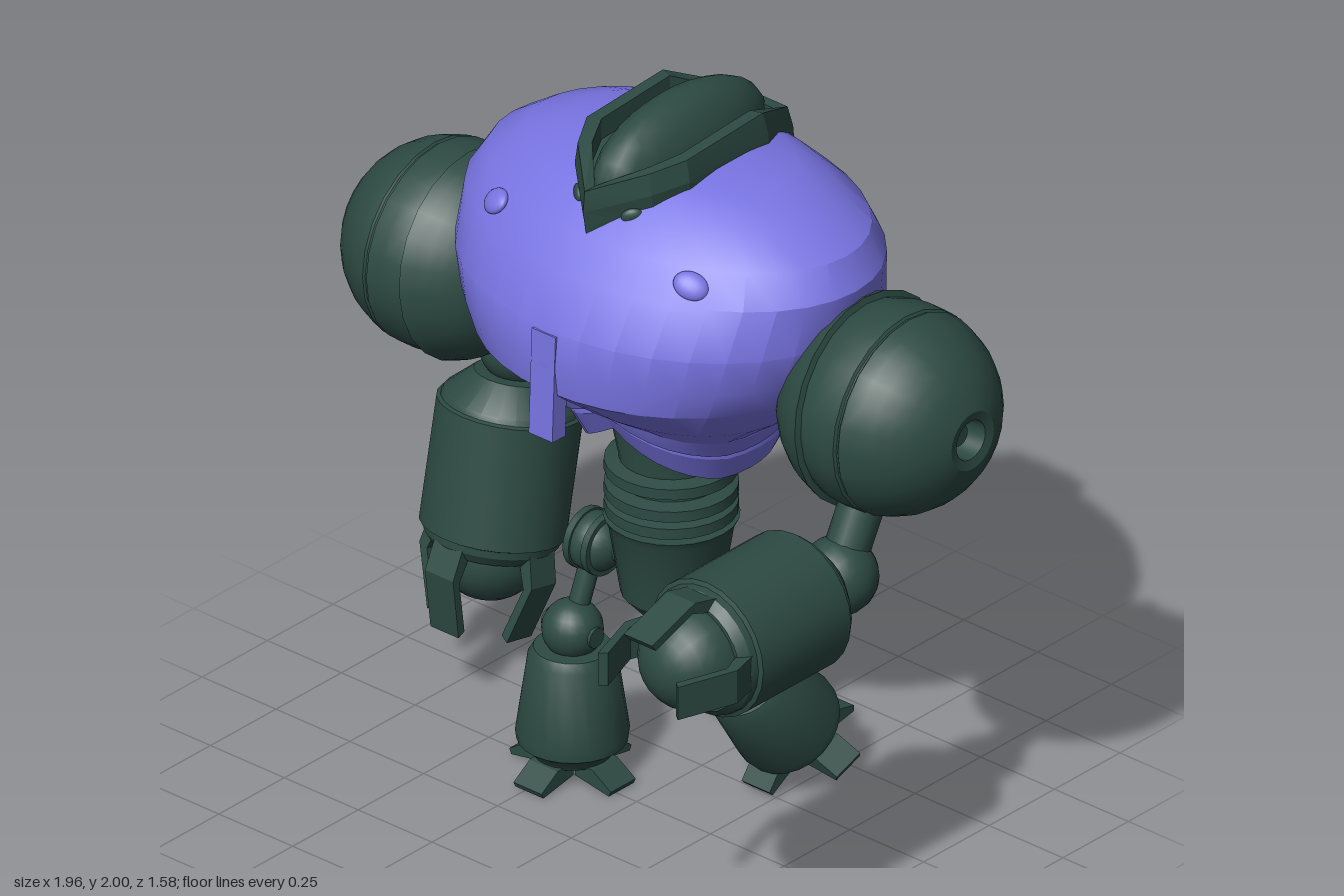
import * as THREE from 'three';
import { toCreasedNormals } from 'three/addons/utils/BufferGeometryUtils.js';
import { ConvexGeometry } from 'three/addons/geometries/ConvexGeometry.js';

const violet = new THREE.MeshStandardMaterial({ color: 0x7874e2, side: THREE.DoubleSide });
violet.name = 'violet armour';
const green = new THREE.MeshStandardMaterial({ color: 0x2d4a43, side: THREE.DoubleSide });
green.name = 'dark green metal';

const V = (x, y, z) => new THREE.Vector3(x, y, z);

function add(parent, name, geo, mat, pos = [0, 0, 0], rot = [0, 0, 0], scale = [1, 1, 1]) {
  const m = new THREE.Mesh(geo, mat);
  m.name = name;
  m.position.set(...pos);
  m.rotation.set(...rot);
  m.scale.set(...scale);
  parent.add(m);
  return m;
}

function group(parent, name, pos, rot = [0, 0, 0]) {
  const g = new THREE.Group();
  g.name = name;
  g.position.set(...pos);
  g.rotation.set(...rot);
  parent.add(g);
  return g;
}

// Turned part; the profile runs from bottom to top as [radius, y]
const turned = (profile, sides = 24) =>
  toCreasedNormals(new THREE.LatheGeometry(profile.map(p => new THREE.Vector2(...p)), sides), 0.5);

const ball = r => new THREE.SphereGeometry(r, 20, 14);

// Skin over closed rows of points, lowest row first
function skin(rows, crease) {
  const n = rows[0].length, index = [];
  for (let j = 0; j < rows.length - 1; j++) {
    for (let i = 0; i < n; i++) {
      const k = (i + 1) % n, a = j * n + i, b = j * n + k;
      index.push(a, b, a + n, b, b + n, a + n);
    }
  }
  const g = new THREE.BufferGeometry().setFromPoints(rows.flat());
  g.setIndex(index);
  g.computeVertexNormals();
  return toCreasedNormals(g, crease);
}

// Oval row: height, half width, back z, front z, rise at the front centre
function oval([y, hx, zb, zf, lift = 0], n = 36) {
  return Array.from({ length: n }, (_, i) => {
    const a = i / n * Math.PI * 2, s = Math.sin(a), c = Math.cos(a);
    return V(hx * s, y + lift * Math.max(0, 1 - Math.abs(s) * 1.05) * (c > 0 ? 1 : 0.3),
      (zb + zf) / 2 + (zf - zb) / 2 * c);
  });
}

function strut(parent, name, a, b, r) {
  const p = V(...a), q = V(...b), d = q.clone().sub(p);
  const m = add(parent, name, new THREE.CylinderGeometry(r, r, d.length(), 14), green);
  m.position.copy(p).add(q).multiplyScalar(0.5);
  m.quaternion.setFromUnitVectors(V(0, 1, 0), d.normalize());
}

// Curved plate: outline in [radius, y], given a width and turned about y
function plate(parent, name, pts, width, angle) {
  const g = new THREE.ExtrudeGeometry(new THREE.Shape(pts.map(p => new THREE.Vector2(...p))),
    { depth: width, bevelEnabled: false });
  g.translate(0, 0, -width / 2);
  add(parent, name, g, green, [0, 0, 0], [0, angle, 0]);
}

const arc = (r, y0, y1, n) => Array.from({ length: n + 1 }, (_, i) => {
  const t = Math.asin(y0 / r) + (Math.asin(y1 / r) - Math.asin(y0 / r)) * i / n;
  return [r * Math.cos(t), r * Math.sin(t)];
});

function buildTorso(root) {
  const torso = group(root, 'torso', [0, 0, 0]);
  add(torso, 'chestShell', skin([
    [1.13, 0.29, -0.43, 0.17, 0.12], [1.22, 0.41, -0.52, 0.26, 0.06], [1.34, 0.52, -0.59, 0.345],
    [1.42, 0.565, -0.61, 0.355], [1.52, 0.6, -0.605, 0.345], [1.65, 0.61, -0.57, 0.27],
    [1.73, 0.565, -0.53, 0.2], [1.8, 0.46, -0.46, 0.12], [1.845, 0.33, -0.4, 0.04],
    [1.865, 0.2, -0.3, -0.03], [1.87, 0, -0.15, -0.15],
  ].map(r => oval(r)), 0.45), violet);
  // Two stacked chevron skirts under the chest
  add(torso, 'upperSkirt', skin([[1.08, 0.275, -0.46, 0.15, 0.13], [1.14, 0.31, -0.47, 0.18, 0.12],
    [1.25, 0.33, -0.48, 0.2, 0.05]].map(r => oval(r)), 0.3), violet);
  add(torso, 'lowerSkirt', skin([[0.985, 0.23, -0.44, 0.09, 0.14], [1.06, 0.265, -0.48, 0.13, 0.13],
    [1.2, 0.27, -0.46, 0.13, 0.06]].map(r => oval(r)), 0.3), violet);
  add(torso, 'breastRib', new THREE.BoxGeometry(0.08, 0.3, 0.05), violet, [-0.005, 1.36, 0.331], [-0.04, 0, 0]);
  for (const s of [-1, 1]) {
    add(torso, 'chestStud', ball(0.048), violet, [s * 0.33, 1.695, 0.165], [-0.75, s * 0.45, 0], [1, 0.75, 0.4]);
  }
  // Back exhaust
  const hull = [[0.12, 1.65, -0.5], [0.11, 1.62, -0.61], [0.08, 1.53, -0.73], [0.065, 1.4, -0.79],
    [0.15, 1.36, -0.6], [0.15, 1.45, -0.5]];
  add(torso, 'backExhaust', new ConvexGeometry(hull.flatMap(([x, y, z]) => [V(x, y, z), V(-x, y, z)])), green);
  add(torso, 'exhaustRing', new THREE.TorusGeometry(0.034, 0.008, 8, 18), green, [0, 1.545, -0.715], [0.75, 0, 0], [1, 1.2, 1]);
}

function buildHead(root) {
  const head = group(root, 'head', [0, 0, 0]);
  const half = [[0, 0.205, 1.69, 1.86], [0.13, 0.09, 1.755, 1.91], [0.18, 0, 1.79, 1.93],
    [0.18, -0.3, 1.72, 1.945], [0.1, -0.485, 1.66, 1.86]];
  const ring = [...half, ...half.slice(1).reverse().map(([x, ...r]) => [-x, ...r])];
  const inset = (x, y, z) => V(x * 0.75, y, -0.14 + (z + 0.14) * 0.87);
  add(head, 'hood', skin([
    ring.map(([x, z, b]) => V(x * 0.95, b, z - 0.02)),
    ring.map(([x, z, b, t]) => V(x, t - 0.06, z)),
    ring.map(([x, z, b, t]) => V(x * 0.94, t, z * 0.97)),
    ring.map(([x, z, b, t]) => inset(x, t, z)),
    ring.map(([x, z, b, t]) => inset(x, t - 0.06, z)),
    ring.map(() => V(0, 1.84, -0.14)),
  ], 0.25), green);
  add(head, 'crest', ball(1), green, [0, 1.84, -0.16], [0, 0, 0], [0.11, 0.16, 0.31]);
  for (const s of [-1, 1]) {
    add(head, 'eye', ball(0.026), green, [s * 0.09, 1.79, 0.12], [0, s * 0.7, s * 0.3], [1.1, 0.8, 0.5]);
  }
}

function buildWaist(root) {
  const waist = group(root, 'waist', [-0.015, 0, -0.15]);
  add(waist, 'pelvis', turned([[0, 0.5], [0.09, 0.505], [0.13, 0.55], [0.162, 0.75], [0.175, 0.775], [0, 0.78]]), green);
  add(waist, 'spine', turned([[0.135, 0.77], [0.135, 0.95], [0.175, 1.15], [0, 1.2]]), green);
  for (const y of [0.805, 0.855, 0.92]) {
    add(waist, 'waistRing', turned([[0.13, y - 0.025], [0.172, y - 0.015], [0.172, y + 0.015], [0.13, y + 0.025]]), green);
  }
}

function buildArm(root, side, name, shoulder, elbow, tilt) {
  const arm = group(root, name, [0, 0, 0]);
  const s = group(arm, 'shoulder', shoulder, [0, 0, -side * Math.PI / 2]);
  add(s, 'shoulderBall', turned([...arc(0.28, -0.278, 0.04, 10), [0.27, 0.045], [0.27, 0.05],
    ...arc(0.28, 0.055, 0.268, 7), [0.055, 0.262], [0.05, 0.2], [0.035, 0.2], [0.03, 0.225], [0, 0.225]]), green);
  add(s, 'shoulderCollar', turned([...arc(0.298, -0.25, -0.08, 6), [0.27, -0.075]]), green, [0, 0, 0], [0, 0, 0.06]);
  strut(arm, 'upperArm', shoulder, elbow, 0.06);
  const f = group(arm, 'forearm', elbow, [tilt, 0, 0]);
  add(f, 'elbowBall', ball(0.105), green);
  add(f, 'forearmBarrel', turned([[0, -0.55], [0.155, -0.55], [0.175, -0.525], [0.178, -0.505], [0.19, -0.5],
    [0.19, -0.165], [0.18, -0.16], [0.175, -0.145], [0.105, -0.08], [0, -0.075]]), green);
  add(f, 'palm', ball(0.145), green, [0, -0.55, 0]);
  // Three claws, leaving the underside open
  for (const a of [0, -Math.PI / 2, Math.PI]) {
    plate(f, 'claw', [[0.13, -0.52], [0.165, -0.5], [0.19, -0.6], [0.135, -0.765], [0.115, -0.75], [0.163, -0.61]], 0.095, a);
  }
}

function buildLeg(root, side, name, knee, tilt, footTilt) {
  const leg = group(root, name, [0, 0, 0]);
  const hip = [side * 0.218, 0.64, -0.09];
  add(leg, 'hipBall', ball(0.08), green, hip);
  for (const o of [-0.03, 0.03]) {
    add(leg, 'hipDisc', new THREE.CylinderGeometry(0.083, 0.083, 0.02, 20), green,
      [hip[0] + o, hip[1], hip[2]], [0, 0, Math.PI / 2]);
  }
  strut(leg, 'hipAxle', hip, [0, 0.64, -0.12], 0.035);
  strut(leg, 'thigh', hip, knee, 0.028);
  const shin = group(leg, 'shin', knee, [tilt, 0, 0]);
  add(shin, 'kneeBall', ball(0.08), green);
  add(shin, 'kneePin', new THREE.CylinderGeometry(0.028, 0.028, 0.165, 12), green, [0, 0, 0], [0, 0, Math.PI / 2]);
  add(shin, 'shinBell', turned([[0, -0.36], [0.1, -0.36], [0.115, -0.335], [0.143, -0.315], [0.146, -0.29],
    [0.115, -0.075], [0.1, -0.05], [0, -0.045]]), green);
  const foot = group(shin, 'foot', [0, -0.33, 0], [footTilt, 0, 0]);
  add(foot, 'ankle', ball(0.085), green, [0, -0.01, 0], [0, 0, 0], [1, 0.7, 1]);
  for (let i = 0; i < 4; i++) {
    plate(foot, 'toe', [[0.05, -0.06], [0.165, -0.08], [0.172, -0.065], [0.11, -0.025], [0.05, -0.02]], 0.095, i * Math.PI / 2);
  }
}

export function createModel() {
  const root = new THREE.Group();
  root.name = 'robot';
  buildTorso(root);
  buildHead(root);
  buildWaist(root);
  buildArm(root, 1, 'leftArm', [0.71, 1.34, -0.18], [0.7, 0.93, 0.02], -Math.PI / 2);
  buildArm(root, -1, 'rightArm', [-0.71, 1.32, -0.09], [-0.7, 0.93, -0.34], -0.2);
  buildLeg(root, 1, 'leftLeg', [0.2, 0.39, -0.15], 0.72, -0.37);
  buildLeg(root, -1, 'rightLeg', [-0.235, 0.41, -0.02], 0, 0);
  return root;
}
